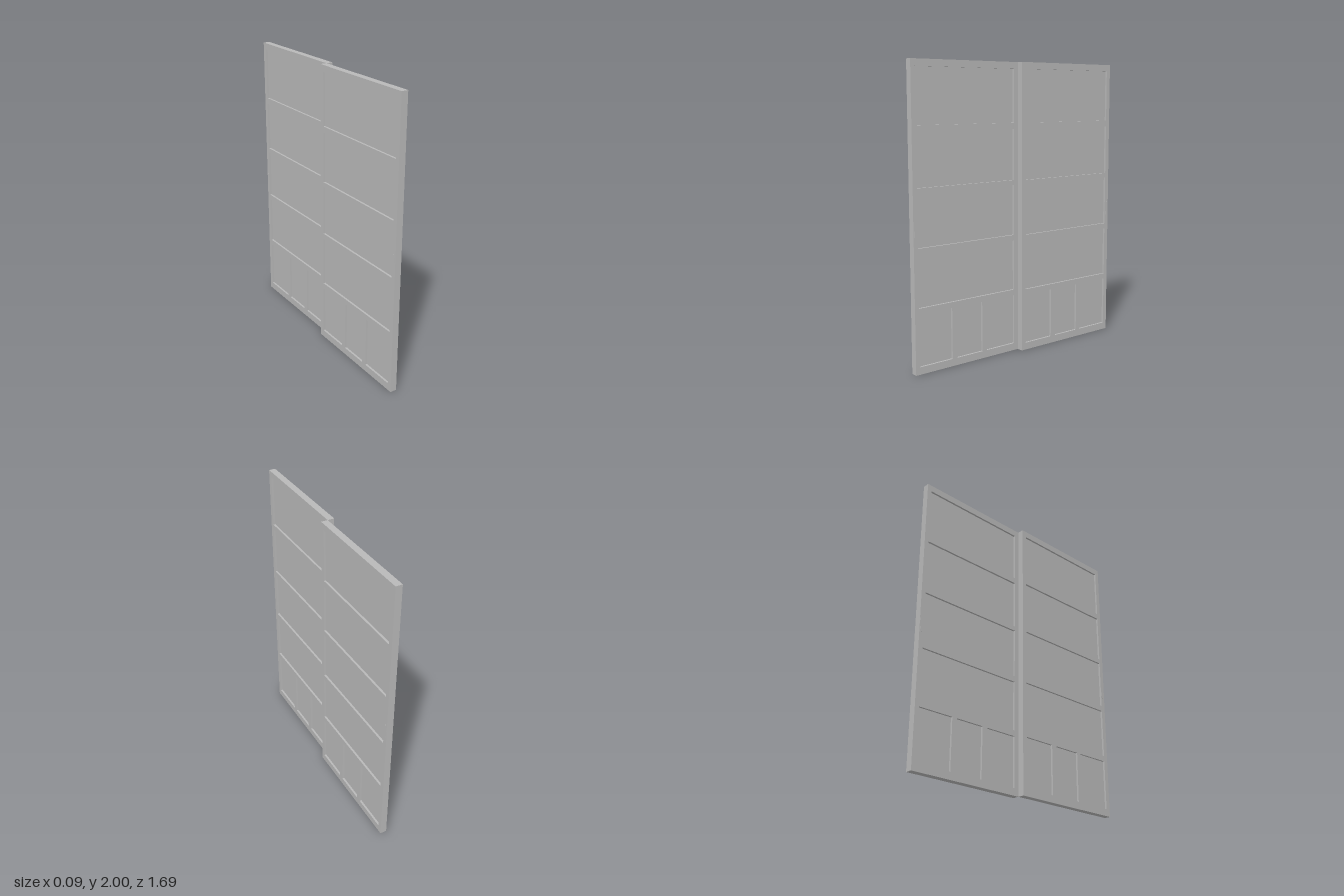
import * as THREE from 'three';

const WIDTH = 0.846, HEIGHT = 2, THICK = 0.046;

// Closed rectangle as a list of points
const rect = (u0, u1, v0, v1) => [[u0, v0], [u1, v0], [u1, v1], [u0, v1]].map(p => new THREE.Vector2(...p));

function createLeaf(paint) {
  const leaf = new THREE.Group();

  // Openings: four wide rows above one row split in three
  const openings = [[0.437, 0.784], [0.824, 1.171], [1.205, 1.553], [1.595, 1.955]]
    .map(([v0, v1]) => [0.034, 0.814, v0, v1]);
  for (const [u0, u1] of [[0.034, 0.273], [0.313, 0.524], [0.56, 0.814]]) openings.push([u0, u1, 0.05, 0.397]);

  // Frame of stiles and rails
  const shape = new THREE.Shape(rect(0, WIDTH, 0, HEIGHT));
  for (const o of openings) shape.holes.push(new THREE.Path(rect(...o)));
  const frameGeo = new THREE.ExtrudeGeometry(shape, { depth: THICK, bevelEnabled: false });
  frameGeo.rotateY(-Math.PI / 2);
  const frame = new THREE.Mesh(frameGeo, paint);
  frame.name = 'doorFrame';
  leaf.add(frame);

  // Panels recessed from both faces
  for (const [u0, u1, v0, v1] of openings) {
    const panel = new THREE.Mesh(new THREE.BoxGeometry(THICK - 0.028, v1 - v0, u1 - u0), paint);
    panel.position.set(-THICK / 2, (v0 + v1) / 2, (u0 + u1) / 2);
    panel.name = 'recessedPanel';
    leaf.add(panel);
  }

  // Thin pull plates on both faces of the outer stile
  for (const x of [-THICK, 0]) {
    const plate = new THREE.Mesh(new THREE.BoxGeometry(0.003, 0.1, 0.02), paint);
    plate.position.set(x, 0.94, 0.831);
    plate.name = 'pullPlate';
    leaf.add(plate);
  }
  return leaf;
}

export function createModel() {
  const paint = new THREE.MeshStandardMaterial({ color: 0xb8b8b8 });
  paint.name = 'grey paint';
  const model = new THREE.Group();
  model.name = 'slidingDoors';

  // Two identical leaves, one turned half round on its own track
  ['frontLeaf', 'backLeaf'].forEach((name, i) => {
    const leaf = createLeaf(paint);
    leaf.name = name;
    leaf.rotation.y = i * Math.PI;
    model.add(leaf);
  });
  return model;
}
